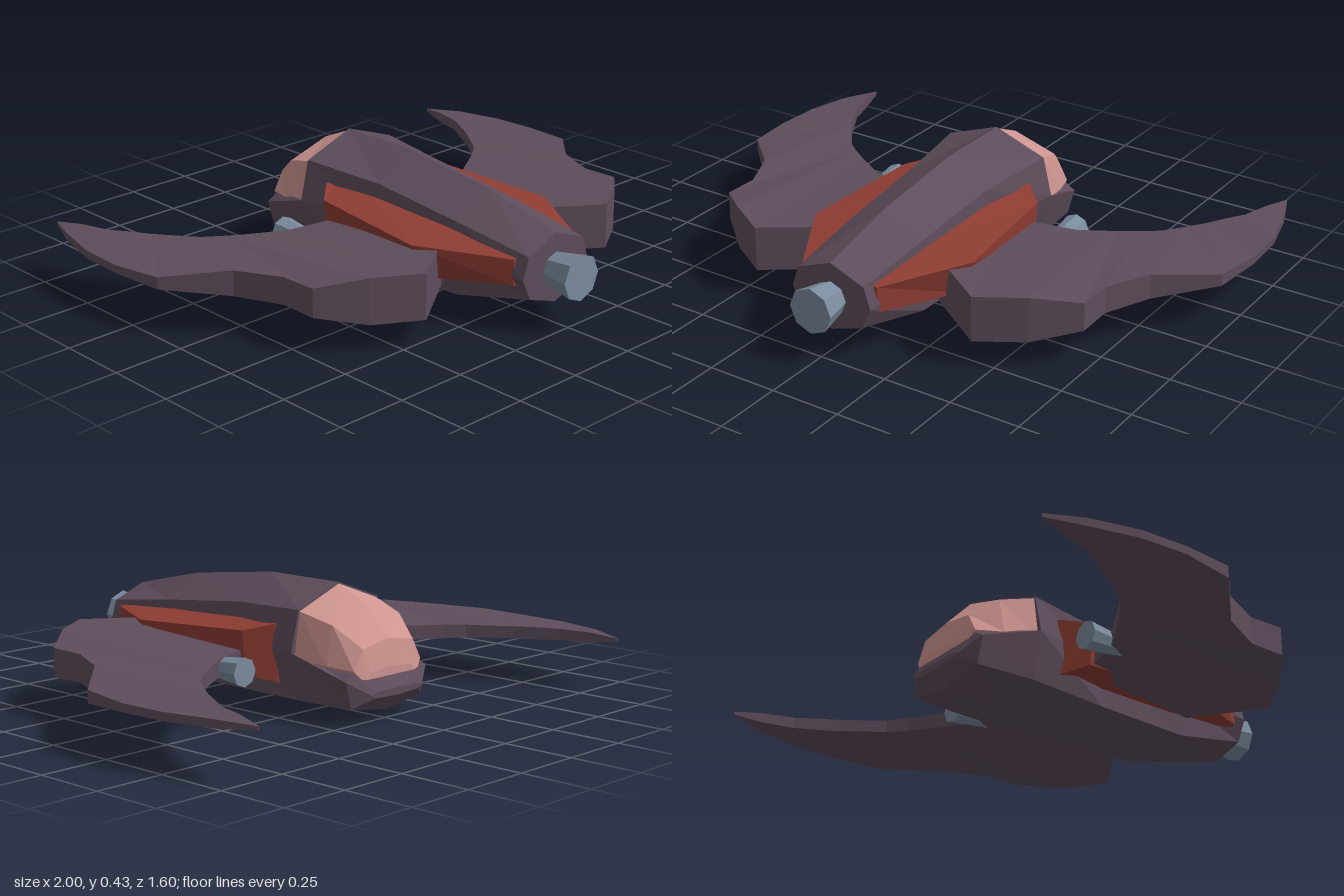
import * as THREE from 'three';

const material = (color) => new THREE.MeshStandardMaterial({ color, flatShading: true });
const plum = material(0x5e4d5b);
const red = material(0x8f3d33);
const pink = material(0xcf9590);
const steel = material(0x7b8c9e);

// Faceted skin over a row of rings; each ring runs anticlockwise seen from the first end
function loft(rings, mirrored = false) {
  if (mirrored) rings = rings.map((r) => r.map(([x, y, z]) => [-x, y, z]).reverse());
  const pos = [];
  const tri = (...points) => points.forEach((p) => pos.push(...p));
  const n = rings[0].length;
  for (let i = 0; i < rings.length - 1; i++) {
    for (let j = 0; j < n; j++) {
      const k = (j + 1) % n;
      const a = rings[i][j], b = rings[i][k], c = rings[i + 1][k], d = rings[i + 1][j];
      tri(a, d, b);
      tri(b, d, c);
    }
  }
  const first = rings[0], last = rings[rings.length - 1];
  for (let j = 1; j < n - 1; j++) {
    tri(first[0], first[j], first[j + 1]);
    tri(last[0], last[j + 1], last[j]);
  }
  const geometry = new THREE.BufferGeometry();
  geometry.setAttribute('position', new THREE.Float32BufferAttribute(pos, 3));
  geometry.computeVertexNormals();
  return geometry;
}

// Symmetric eight-sided ring: ridge height, shoulder, waist, chine, keel height
function bodyRing([z, ridge, shoulder, waist, chine, keel]) {
  const side = [chine, waist, shoulder];
  return [
    [0, keel, z],
    ...side.map(([x, y]) => [x, y, z]),
    [0, ridge, z],
    ...side.reverse().map(([x, y]) => [-x, y, z]),
  ];
}

export function createModel() {
  const group = new THREE.Group();
  const add = (name, geometry, mat) => {
    const mesh = new THREE.Mesh(geometry, mat);
    mesh.name = name;
    group.add(mesh);
    return mesh;
  };

  // Main hull
  add('hull', loft([
    [0.69, 0.315, [0.13, 0.265], [0.155, 0.19], [0.12, 0.115], 0.075],
    [0.39, 0.385, [0.145, 0.305], [0.155, 0.2], [0.15, 0.05], 0.005],
    [0.02, 0.43, [0.155, 0.345], [0.165, 0.22], [0.17, 0.05], 0],
    [-0.29, 0.43, [0.195, 0.36], [0.23, 0.22], [0.19, 0.055], 0.018],
  ].map(bodyRing)), plum);

  // Lower hull carrying the canopy
  add('canopyCradle', loft([
    [-0.29, 0.2, [0.15, 0.2], [0.23, 0.22], [0.19, 0.055], 0.018],
    [-0.505, 0.18, [0.15, 0.18], [0.2, 0.15], [0.175, 0.055], 0.03],
    [-0.55, 0.11, [0.1, 0.11], [0.125, 0.1], [0.11, 0.09], 0.085],
  ].map(bodyRing)), plum);

  // Faceted canopy
  add('canopy', loft([
    [-0.29, 0.425, [0.19, 0.355], [0.215, 0.2], [0.15, 0.17], 0.17],
    [-0.415, 0.37, [0.165, 0.32], [0.195, 0.19], [0.14, 0.16], 0.16],
    [-0.51, 0.27, [0.125, 0.25], [0.165, 0.18], [0.12, 0.14], 0.14],
    [-0.525, 0.18, [0.1, 0.17], [0.13, 0.14], [0.1, 0.12], 0.12],
  ].map(bodyRing)), pink);

  // Side pods: z, inner x, upper outer edge, lower outer edge, inner top and bottom heights
  const podRings = [
    [0.645, 0.12, [0.15, 0.25], [0.15, 0.16], 0.255, 0.15],
    [0.35, 0.12, [0.32, 0.262], [0.28, 0.14], 0.28, 0.12],
    [-0.115, 0.12, [0.28, 0.28], [0.27, 0.13], 0.305, 0.105],
    [-0.19, 0.12, [0.2, 0.302], [0.19, 0.1], 0.305, 0.1],
  ].map(([z, inner, upper, lower, top, bottom]) => [
    [inner, bottom, z], [...lower, z], [...upper, z], [inner, top, z],
  ]);

  // Wing stations: outer edge x, z, half thickness; inner edge x, z, half thickness
  const wingRings = [
    [0.2, 0.37, 0.08, 0.2, -0.08, 0.04],
    [0.435, 0.535, 0.08, 0.42, -0.14, 0.03],
    [0.59, 0.44, 0.08, 0.54, -0.22, 0.025],
    [0.725, 0.325, 0.05, 0.6, -0.26, 0.025],
    [0.725, 0.19, 0.048, 0.66, -0.31, 0.023],
    [0.8, 0.03, 0.045, 0.71, -0.38, 0.022],
    [0.975, -0.14, 0.021, 0.76, -0.45, 0.022],
    [1, -0.33, 0.014, 0.8, -0.52, 0.022],
    [0.992, -0.5, 0.014, 0.84, -0.59, 0.02],
    [0.95, -0.67, 0.014, 0.87, -0.7, 0.018],
    [0.9, -0.8, 0.006, 0.896, -0.8, 0.006],
  ].map(([x, z, t, ix, iz, it]) => [
    [x, 0.174 - t, z], [x, 0.174 + t, z], [ix, 0.174 + it, iz], [ix, 0.174 - it, iz],
  ]);

  for (const side of [1, -1]) {
    const label = side > 0 ? 'left' : 'right';
    add(label + 'Pod', loft(podRings, side < 0), red);
    add(label + 'Wing', loft(wingRings, side < 0), plum);

    // Tapered thruster half sunk into the wing
    const thruster = add(label + 'Thruster', new THREE.CylinderGeometry(0.02, 0.05, 0.25, 8), steel);
    thruster.rotation.x = Math.PI / 2;
    thruster.position.set(side * 0.375, 0.168, -0.095);
  }

  // Flared nozzle at the end of the hull
  const nozzle = add('nozzle', new THREE.CylinderGeometry(0.081, 0.055, 0.13, 8), steel);
  nozzle.rotation.x = Math.PI / 2;
  nozzle.position.set(0, 0.19, 0.735);

  return group;
}
